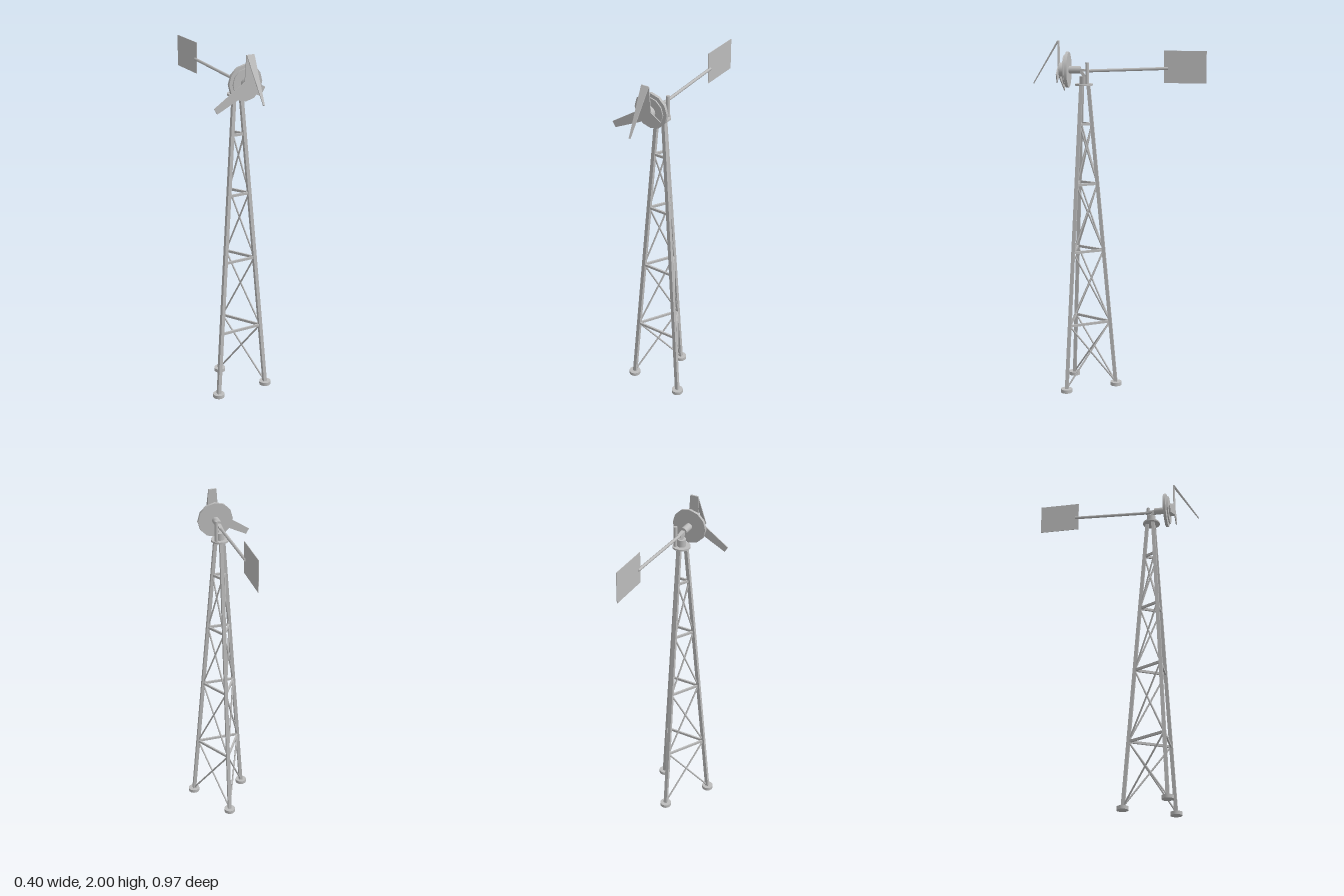
import * as THREE from 'three';

export function createModel() {
  const model = new THREE.Group();
  model.name = 'windPump';
  const metal = new THREE.MeshStandardMaterial({ color: 0xbcbcbc });
  metal.name = 'galvanisedGrey';
  metal.side = THREE.DoubleSide;
  const V = (x, y, z) => new THREE.Vector3(x, y, z);
  const CX = 0.011, CZ = 0.198, HUB = 1.838;

  function add(name, geometry, x, y, z) {
    const mesh = new THREE.Mesh(geometry, metal);
    mesh.name = name;
    mesh.position.set(x, y, z);
    model.add(mesh);
    return mesh;
  }
  // Straight member from a to b; round if no depth is given
  function beam(name, a, b, w, d) {
    const len = a.distanceTo(b);
    const geo = d ? new THREE.BoxGeometry(w, d, len)
      : new THREE.CylinderGeometry(w, w, len, 8).rotateX(Math.PI / 2);
    const mid = a.clone().add(b).multiplyScalar(0.5);
    const mesh = add(name, geo, mid.x, mid.y, mid.z);
    mesh.lookAt(b);
    return mesh;
  }
  // Square upright whose sides stay parallel to the front and flanks
  function upright(name, a, b, w) {
    const mid = a.clone().add(b).multiplyScalar(0.5);
    const mesh = add(name, new THREE.BoxGeometry(w, a.distanceTo(b), w), mid.x, mid.y, mid.z);
    mesh.quaternion.setFromUnitVectors(V(0, 1, 0), b.clone().sub(a).normalize());
  }
  // Cylinder lying along z between z0 and z1
  function drum(name, r, z0, z1, sides) {
    return add(name, new THREE.CylinderGeometry(r, r, z1 - z0, sides).rotateX(Math.PI / 2), CX, HUB, (z0 + z1) / 2);
  }

  // Three-legged lattice tower; leg 0 is at the back
  const legPoint = (i, y) => {
    const r = 0.179 - (0.179 - 0.0254) * y / 1.75;
    const a = -Math.PI / 2 + i * Math.PI * 2 / 3;
    return V(CX + r * Math.cos(a), y, CZ + r * Math.sin(a));
  };
  const levels = [0.02, 0.386, 0.81, 1.196, 1.536];
  for (let i = 0; i < 3; i++) {
    const foot = legPoint(i, 0);
    add('foot', new THREE.CylinderGeometry(0.033, 0.033, 0.02, 20), foot.x, 0.01, foot.z);
    upright('leg', legPoint(i, 0.01), legPoint(i, 1.755), 0.02);
    for (let k = 0; k < levels.length; k++) {
      const y = levels[k], next = levels[k + 1];
      if (k > 0) beam('crossbar', legPoint(i, y), legPoint(i + 1, y), 0.01, 0.014);
      // The front face carries crossbars only
      if (next && i !== 1) {
        beam('diagonalBrace', legPoint(i, y), legPoint(i + 1, next), 0.005);
        beam('diagonalBrace', legPoint(i + 1, y), legPoint(i, next), 0.005);
      }
    }
  }

  // Turntable, swivel and side post
  add('turntable', new THREE.CylinderGeometry(0.05, 0.05, 0.01, 24), CX, 1.756, CZ);
  add('swivel', new THREE.CylinderGeometry(0.025, 0.025, 0.045, 16), CX, 1.78, CZ);
  add('sidePost', new THREE.CylinderGeometry(0.01, 0.01, 0.12, 12), 0.037, 1.82, 0.176);
  beam('bracket', V(CX, 1.79, 0.185), V(CX, 1.84, 0.222), 0.02, 0.016);
  beam('tailMount', V(CX, 1.832, 0.165), V(CX, HUB, 0.22), 0.02, 0.012);

  // Shaft housing, rotor discs and hub
  drum('shaftHousing', 0.02, 0.217, 0.284, 16);
  drum('backDisc', 0.1, 0.281, 0.297, 12);
  drum('frontDisc', 0.083, 0.302, 0.309, 12);
  drum('hub', 0.038, 0.29, 0.336, 16);

  // Tapered blade piece spanning s0 to s1 of the full blade length
  const width = s => 0.066 - 0.13 * s;
  function bladePiece(s0, s1) {
    const a = width(s0) / 2, b = width(s1) / 2, len = s1 - s0;
    const shape = new THREE.Shape([[-a, 0], [a, 0], [b, len], [-b, len]].map(p => new THREE.Vector2(...p)));
    return new THREE.ExtrudeGeometry(shape, { depth: 0.005, bevelEnabled: false }).translate(0, 0, -0.0025);
  }
  // Upright blade folded forward, a shortened blade and a broken stub
  [[0, 0.16], [Math.PI * 2 / 3, 0.235], [-Math.PI * 2 / 3, 0.09]].forEach(([angle, length]) => {
    add('blade', bladePiece(0, length), CX, HUB, 0.339).rotation.z = angle;
  });
  const fold = add('foldedBladeTip', bladePiece(0.16, 0.436), CX, 1.998, 0.341);
  fold.rotation.x = Math.PI - Math.atan2(0.142, 0.238);

  // Tail boom and vane
  beam('tailBoom', V(CX, 1.832, 0.175), V(CX, 1.849, -0.272), 0.0085);
  add('tailVane', new THREE.BoxGeometry(0.003, 0.178, 0.234), CX, 1.857, -0.367);
  return model;
}
